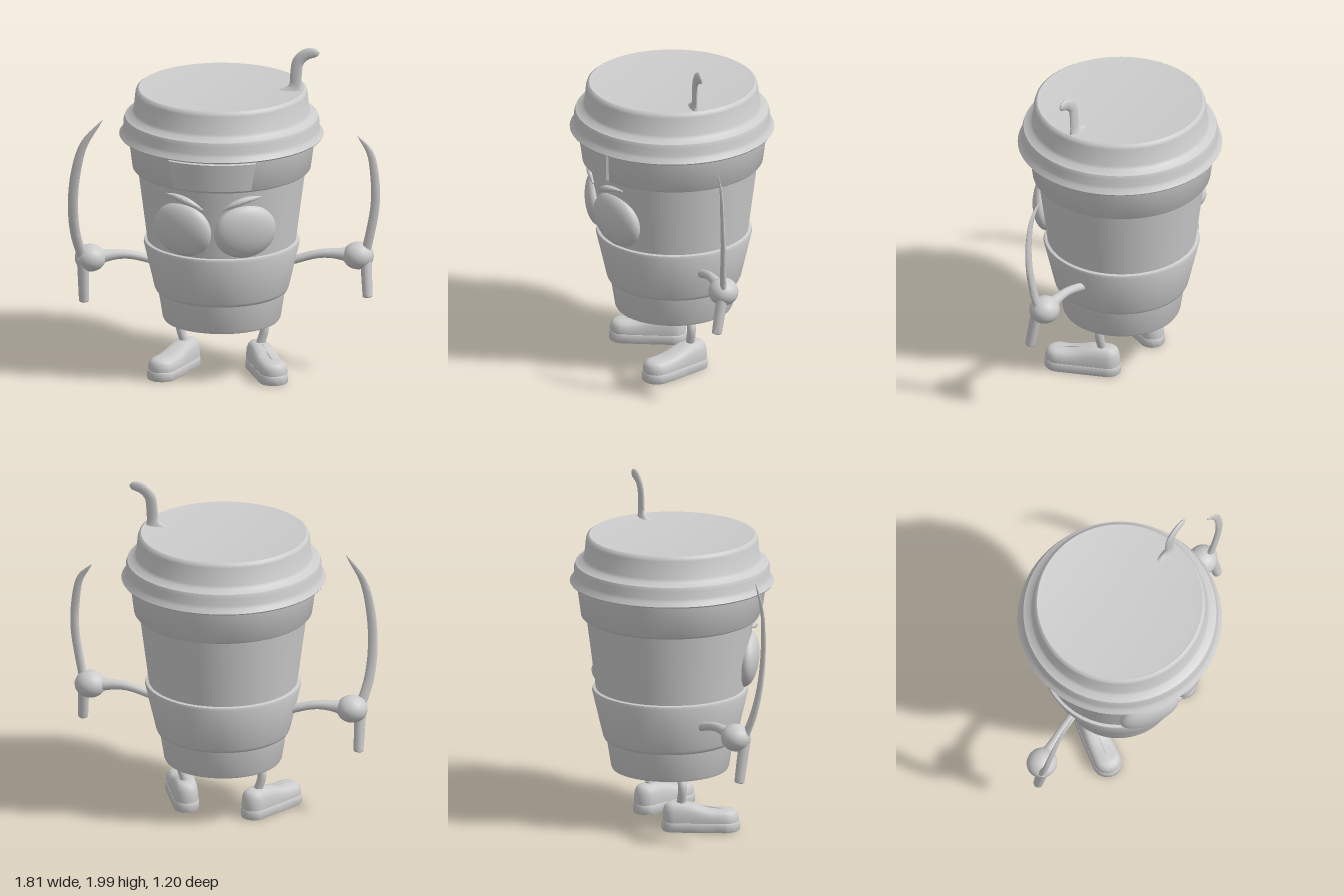
import * as THREE from 'three';
import { toCreasedNormals } from 'three/addons/utils/BufferGeometryUtils.js';

const material = new THREE.MeshStandardMaterial({ color: 0xcccccc });
const vec = (x, y, z) => new THREE.Vector3(x, y, z);
const X = vec(1, 0, 0), Y = vec(0, 1, 0), Z = vec(0, 0, 1);
const CX = -0.027; // centre line of the cup
const CZ = -0.015;

function add(parent, name, geometry, crease = 0.7) {
  const mesh = new THREE.Mesh(toCreasedNormals(geometry, crease), material);
  mesh.name = name;
  parent.add(mesh);
  return mesh;
}

// Skin a stack of equal-length rings (counter-clockwise about the stacking direction) and cap both ends
function loft(rings) {
  const n = rings[0].length, pos = [], idx = [];
  rings.forEach((ring) => ring.forEach((p) => pos.push(p.x, p.y, p.z)));
  for (let i = 0; i < rings.length - 1; i++) {
    for (let j = 0; j < n; j++) {
      const a = i * n + j, b = i * n + (j + 1) % n;
      idx.push(a, b, a + n, b, b + n, a + n);
    }
  }
  [0, rings.length - 1].forEach((k) => {
    const c = rings[k].reduce((s, p) => s.add(p), vec(0, 0, 0)).divideScalar(n);
    const centre = pos.length / 3;
    pos.push(c.x, c.y, c.z);
    for (let j = 0; j < n; j++) {
      const a = k * n + j, b = k * n + (j + 1) % n;
      idx.push(centre, ...(k ? [a, b] : [b, a]));
    }
  });
  const g = new THREE.BufferGeometry();
  g.setAttribute('position', new THREE.Float32BufferAttribute(pos, 3));
  g.setIndex(idx);
  return g;
}

// Sweep an ellipse along a curve; width(t) lies across ref and depth(t) along it
function sweep(points, ref, width, depth = width, steps = 36, sides = 14) {
  const path = new THREE.CatmullRomCurve3(points);
  const rings = [];
  for (let i = 0; i <= steps; i++) {
    const t = i / steps, p = path.getPoint(t), tangent = path.getTangent(t);
    const n = tangent.clone().cross(ref).normalize();
    const b = tangent.clone().cross(n);
    rings.push(Array.from({ length: sides }, (_, j) => {
      const a = (j / sides) * Math.PI * 2;
      return p.clone().addScaledVector(n, Math.cos(a) * width(t)).addScaledVector(b, Math.sin(a) * depth(t));
    }));
  }
  return loft(rings);
}

const lathe = (pts) => new THREE.LatheGeometry(pts.map(([r, y]) => new THREE.Vector2(r, y)), 96);
const cupRadius = (y) => 0.435 + (y - 0.81) * 0.128;

// Shoe layer: rounded outline about a heel-to-toe spine, each level [inset, height], heights scaled by lift(u)
function shoeLayer(levels, base, lift) {
  const length = 0.295, outline = [];
  const width = (u) => 0.075 + 0.012 * u;
  for (const end of [1, 0]) {
    const turn = end ? -Math.PI / 2 : Math.PI / 2;
    for (let i = 0; i <= 12; i++) outline.push([end, turn + Math.PI * i / 12]);
    for (let i = 1; i < 8; i++) outline.push([Math.abs(end - i / 8), -turn]);
  }
  return loft(levels.map(([s, h]) => outline.map(([u, a]) =>
    vec(Math.sin(a) * width(u) * s, base + h * lift(u), u * length + Math.cos(a) * width(u) * s))));
}

// Arm, hand and curved sword
function swordArm(parent, name, shoulder, hand, gripEnd, blade, bladeWidth) {
  const group = new THREE.Group();
  group.name = name + 'SwordArm';
  parent.add(group);
  const elbow = shoulder.clone().lerp(hand, 0.5).addScaledVector(Y, 0.033);
  add(group, 'arm', sweep([shoulder, elbow, hand], Y, (t) => 0.025 + 0.04 * t ** 5), 1);
  const palm = add(group, 'hand', new THREE.SphereGeometry(1, 28, 20), 3);
  palm.scale.set(0.092, 0.081, 0.088);
  palm.position.copy(hand);
  add(group, 'swordHandle', sweep([gripEnd, blade[0]], X,
    (t) => 0.028 * Math.sqrt(Math.min(1, 0.15 + 9 * t)) + 0.007 * t), 1);
  add(group, 'swordBlade', sweep(blade, Z,
    (t) => 0.001 + bladeWidth * (1 - t ** 6), (t) => 0.001 + 0.018 * (1 - t) ** 0.7), 1);
}

export function createModel() {
  const model = new THREE.Group();
  model.name = 'cupWarrior';

  // Cup with lower sleeve and headband
  const body = new THREE.Group();
  body.name = 'body';
  body.position.set(CX, 0, CZ);
  model.add(body);
  add(body, 'cup', lathe([[0, 0.335], [0.325, 0.335], [0.338, 0.327], [0.345, 0.34], [0.371, 0.5],
    [0.386, 0.51], [0.393, 0.525], [0.456, 0.795], [0.452, 0.812], [0.435, 0.816],
    [0.489, 1.235], [0.512, 1.245], [0.521, 1.255], [0.546, 1.44], [0.5, 1.48]]));

  // Lid
  const lid = add(model, 'lid', lathe([[0.5, 1.46], [0.592, 1.45], [0.598, 1.458], [0.58, 1.482],
    [0.572, 1.5], [0.572, 1.545], [0.564, 1.568], [0.525, 1.587], [0.514, 1.605],
    [0.503, 1.71], [0.497, 1.728], [0.484, 1.737], [0.455, 1.733], [0, 1.733]]));
  lid.position.set(CX, 0, -0.003);

  // Headband plate, bent round the cup and tapered towards the bottom
  const plate = new THREE.BoxGeometry(0.5, 0.185, 0.05, 24, 4, 2);
  const p = plate.attributes.position;
  for (let i = 0; i < p.count; i++) {
    const front = p.getZ(i) > 0.02;
    const y = 1.342 + p.getY(i) * (front ? 0.9 : 1);
    const a = p.getX(i) * (front ? 0.95 : 1) * (1 + p.getY(i) * 0.45) / 0.52;
    const r = 0.511 + (y - 1.255) * 0.135 + p.getZ(i);
    p.setXYZ(i, Math.sin(a) * r, y, Math.cos(a) * r);
  }
  add(body, 'headbandPlate', plate, 0.9);

  // Eyes and angry brows
  for (const side of [-1, 1]) {
    const name = side > 0 ? 'left' : 'right';
    const eye = add(body, name + 'Eye', new THREE.SphereGeometry(1, 40, 28), 3);
    eye.scale.set(0.188, 0.167, 0.075);
    eye.position.set(side * 0.183, 0.985, 0.407);
    eye.rotation.set(0.12, side * 0.42, 0, 'YXZ');
    const brow = [0.055, 0.13, 0.205, 0.28].map((x) => {
      const y = 1.198 - 1.45 * (0.28 - x) ** 2;
      return vec(side * x, y, Math.sqrt((cupRadius(y) + 0.005) ** 2 - x * x));
    });
    const swell = (t) => 0.004 + 0.016 * Math.sin(Math.PI * t);
    add(body, name + 'Brow', sweep(brow, Z, swell, (t) => 1.3 * swell(t)), 2);
  }

  // Bent straw on the lid, flared at its foot
  const flare = (t) => Math.max(0, 1 - 4 * t) ** 2;
  const tip = (t) => Math.sqrt(1.02 - t ** 14);
  add(model, 'straw', sweep([vec(0.395, 1.715, -0.007), vec(0.407, 1.765, -0.007), vec(0.412, 1.84, -0.007),
    vec(0.425, 1.91, -0.007), vec(0.475, 1.957, -0.007), vec(0.548, 1.967, -0.007)], Z,
  (t) => (0.034 + 0.05 * flare(t)) * tip(t), (t) => (0.014 + 0.016 * flare(t)) * tip(t)), 1);

  // Sword arms
  swordArm(model, 'right', vec(-0.38, 0.655, -0.01), vec(-0.79, 0.69, 0.07), vec(-0.827, 0.422, 0.075),
    [vec(-0.83, 0.7, 0.112), vec(-0.868, 0.86, 0.155), vec(-0.879, 1.04, 0.19),
      vec(-0.86, 1.25, 0.215), vec(-0.808, 1.435, 0.23), vec(-0.7, 1.585, 0.235)], 0.029);
  swordArm(model, 'left', vec(0.34, 0.665, -0.05), vec(0.77, 0.715, -0.07), vec(0.832, 0.478, -0.01),
    [vec(0.815, 0.74, -0.055), vec(0.845, 0.87, -0.045), vec(0.873, 1.04, -0.038),
      vec(0.872, 1.2, -0.033), vec(0.842, 1.36, -0.035), vec(0.77, 1.455, -0.04)], 0.026);

  // Bowed legs and shoes, toes turned outwards
  for (const side of [-1, 1]) {
    const name = side > 0 ? 'left' : 'right';
    const at = (dx) => CX + side * dx;
    add(model, name + 'Leg', sweep([vec(at(0.2), 0.35, -0.045), vec(at(0.247), 0.27, -0.045),
      vec(at(0.22), 0.15, -0.045)], Z, () => 0.026), 1);
    const shoe = new THREE.Group();
    shoe.name = name + 'Shoe';
    shoe.position.set(at(0.207), 0.005, -0.078);
    shoe.rotation.y = side * 0.42;
    model.add(shoe);
    add(shoe, 'sole', shoeLayer([[0.95, 0], [1, 0.008], [1, 0.047], [0.95, 0.055]], 0, () => 1));
    add(shoe, 'upper', shoeLayer([[0.93, 0], [0.95, 0.25], [0.9, 0.6], [0.78, 0.82], [0.6, 0.94], [0.3, 0.99], [0.01, 1]],
      0.05, (u) => 0.12 - 0.042 * THREE.MathUtils.smoothstep(u, 0.15, 0.85)), 1);
  }
  return model;
}
